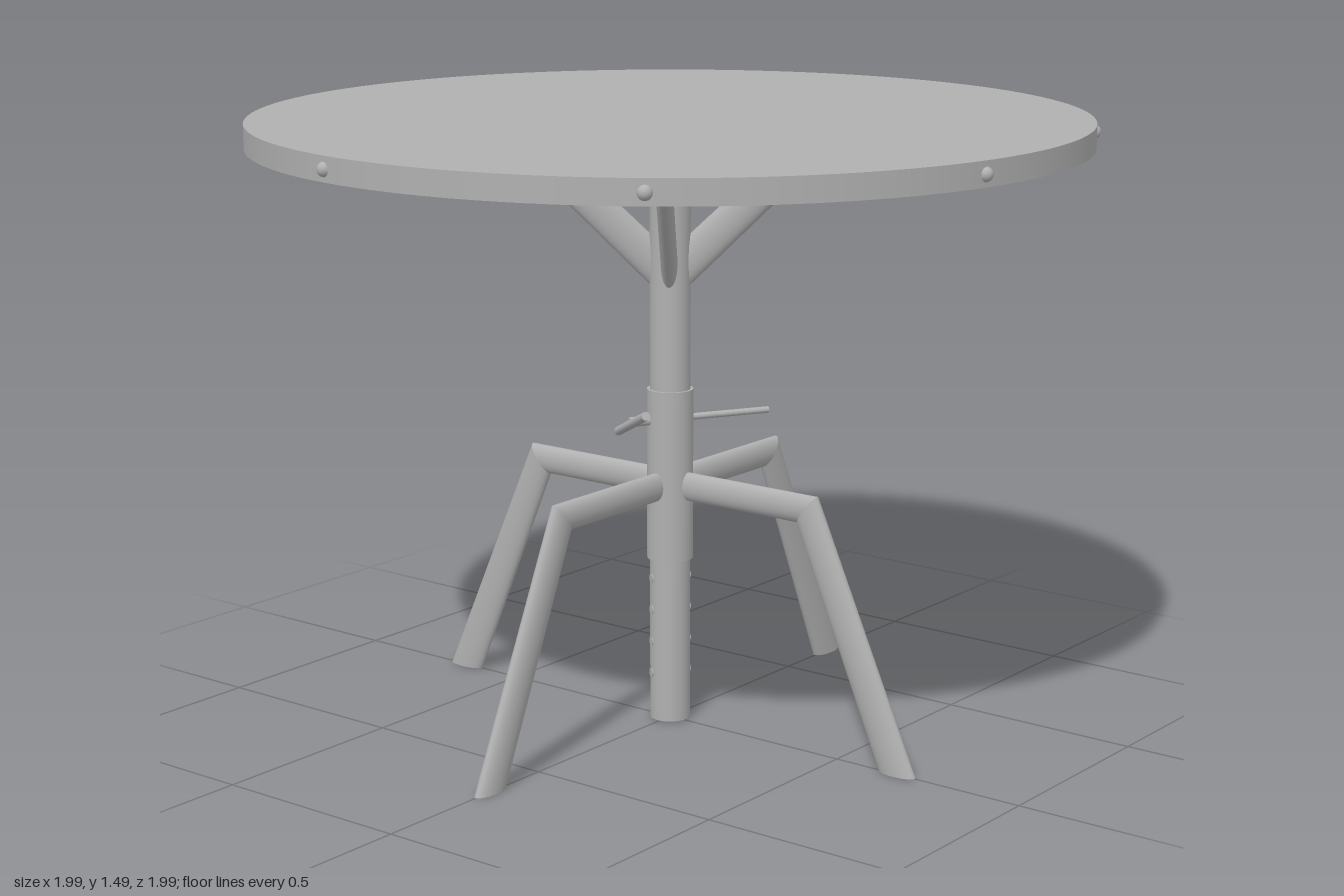
import * as THREE from 'three';
import { mergeGeometries } from 'three/addons/utils/BufferGeometryUtils.js';

const DEG = Math.PI / 180;

// Oval bar in the xy plane: each section is an [upper, lower] pair of points, mitred at bends.
function ovalBar(sections, halfWidth, sides = 24) {
  const pieces = [];
  for (let s = 0; s < sections.length - 1; s++) {
    const pos = [], index = [];
    for (const [[ux, uy], [lx, ly]] of [sections[s], sections[s + 1]]) {
      for (let j = 0; j < sides; j++) {
        const t = (j / sides) * Math.PI * 2, c = Math.cos(t) / 2;
        pos.push((ux + lx) / 2 + (ux - lx) * c, (uy + ly) / 2 + (uy - ly) * c, halfWidth * Math.sin(t));
      }
    }
    for (let j = 0; j < sides; j++) {
      const k = (j + 1) % sides;
      index.push(j, k, sides + j, k, sides + k, sides + j);
    }
    // Closed far end on the last piece
    if (s === sections.length - 2) {
      const base = pos.length / 3;
      pos.push(...pos.slice(sides * 3));
      for (let j = 1; j < sides - 1; j++) index.push(base, base + j, base + j + 1);
    }
    const g = new THREE.BufferGeometry();
    g.setAttribute('position', new THREE.Float32BufferAttribute(pos, 3));
    g.setIndex(index);
    g.computeVertexNormals();
    pieces.push(g);
  }
  return mergeGeometries(pieces);
}

export function createModel() {
  const model = new THREE.Group();
  model.name = 'adjustableTable';
  const steel = new THREE.MeshStandardMaterial({ color: 0xb0b0b0 });
  steel.name = 'grey steel';

  const add = (name, geometry, parent = model) => {
    const mesh = new THREE.Mesh(geometry, steel);
    mesh.name = name;
    parent.add(mesh);
    return mesh;
  };
  const upright = (name, r, y0, y1, sides = 32) => {
    const m = add(name, new THREE.CylinderGeometry(r, r, y1 - y0, sides));
    m.position.y = (y0 + y1) / 2;
    return m;
  };
  // Round bar between two points
  const rod = (name, r, a, b) => {
    const from = new THREE.Vector3(...a), to = new THREE.Vector3(...b);
    const m = add(name, new THREE.CylinderGeometry(r, r, from.distanceTo(to), 16));
    m.position.copy(from).add(to).multiplyScalar(0.5);
    m.quaternion.setFromUnitVectors(new THREE.Vector3(0, 1, 0), to.sub(from).normalize());
    return m;
  };
  // Point at a distance from the axis, angle measured from +x towards +z
  const polar = (deg, r, y) => [r * Math.cos(deg * DEG), y, r * Math.sin(deg * DEG)];

  // Table top, edge band and studs, turned a little on the post
  const top = new THREE.Group();
  top.name = 'tableTop';
  top.rotation.y = -10 * DEG;
  model.add(top);
  add('topPanel', new THREE.CylinderGeometry(0.988, 0.988, 0.058, 128), top).position.y = 1.456;
  const corners = [[0.988, 1.427], [0.994, 1.427], [0.994, 1.485], [0.988, 1.485]];
  const band = corners.slice(0, -1).map((p, i) =>
    new THREE.LatheGeometry([p, corners[i + 1]].map(([x, y]) => new THREE.Vector2(x, y)), 128));
  add('edgeBand', mergeGeometries(band), top);
  for (let i = 0; i < 8; i++) {
    const stud = add('edgeStud', new THREE.SphereGeometry(0.017, 16, 12), top);
    stud.position.set(...polar(i * 45, 0.991, 1.455));
  }

  // Braces under the top
  const braceShape = ovalBar([[[0.03, 1.19], [0.03, 1.065]], [[0.285, 1.43], [0.4, 1.43]]], 0.02);
  for (let i = 0; i < 4; i++) add('brace', braceShape, top).rotation.y = -(45 + i * 90) * DEG;

  // Post and sleeve
  upright('post', 0.049, 0.003, 1.43);
  upright('sleeve', 0.056, 0.41, 0.83);

  // Adjustment holes, shown as small discs on both sides of the post
  for (const y of [0.12, 0.2, 0.28, 0.36])
    for (const a of [120, 300]) rod('heightHole', 0.011, polar(a, 0.045, y), polar(a, 0.0505, y));

  // Legs
  const legShape = ovalBar([
    [[0, 0.63], [0, 0.56]],
    [[0.435, 0.63], [0.38, 0.56]],
    [[0.72, 0], [0.62, 0]],
  ], 0.02);
  for (let i = 0; i < 4; i++) add('leg', legShape).rotation.y = i * 90 * DEG;

  // Locking pin, clamp screw with its crossbar, and side stud
  rod('lockingPin', 0.008, polar(300, 0.03, 0.755), polar(300, 0.258, 0.755));
  rod('clampScrew', 0.012, polar(120, 0.04, 0.755), polar(120, 0.105, 0.755));
  rod('clampCrossbar', 0.011, [0.033, 0.79, 0.135], [-0.122, 0.715, 0.047]);
  add('sideStud', new THREE.SphereGeometry(0.018, 16, 12)).position.set(...polar(210, 0.054, 0.75));

  return model;
}
